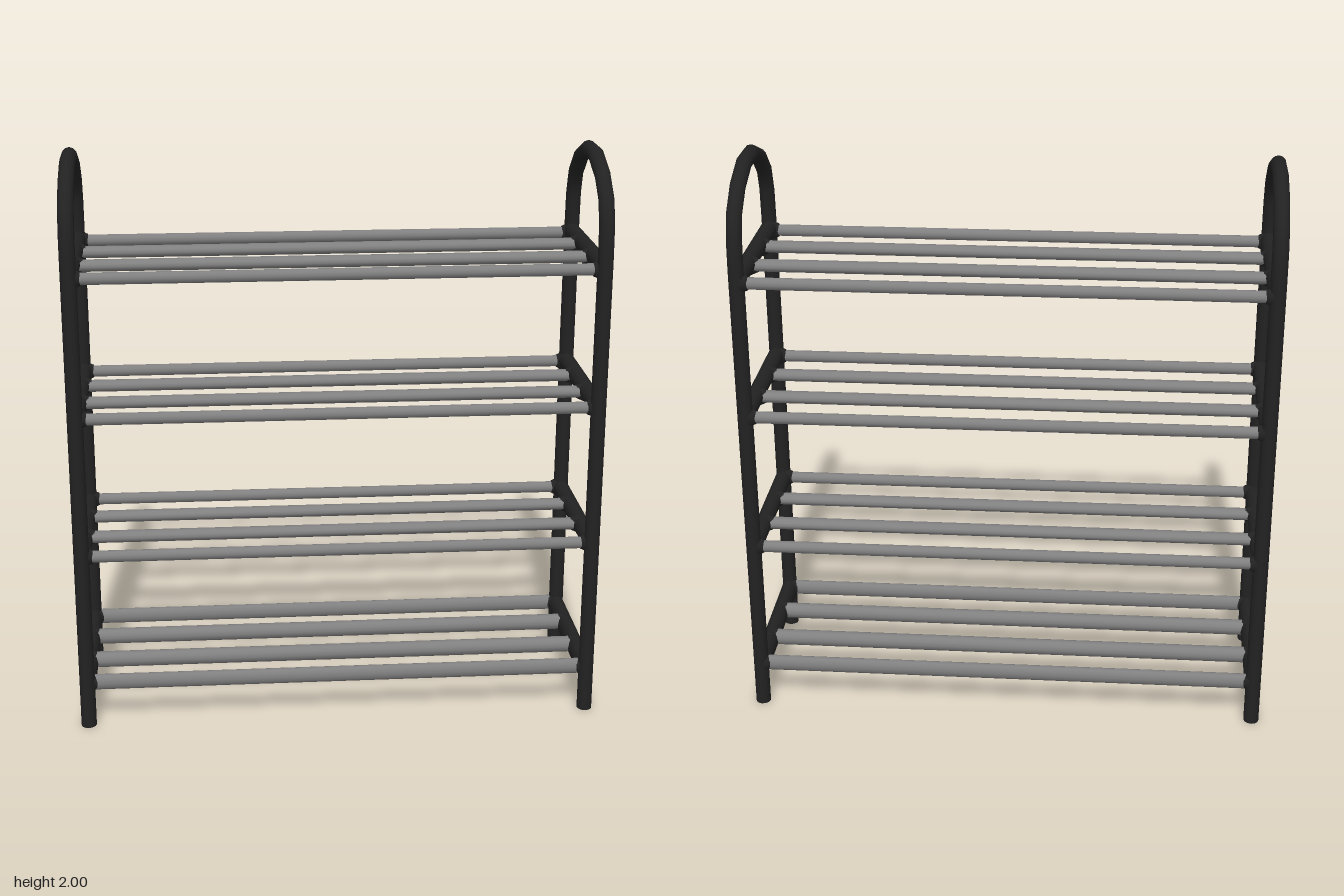
import * as THREE from 'three';

const FRAME_X = 0.891, LEG_Z = 0.284, SIDES = 12;

// Tube swept along a polyline in the yz plane, with mitred corners and closed ends
function mitredTube(path, rx, r) {
  const pos = [], index = [], n = path.length;
  path.forEach(([z, y], i) => {
    const a = path[Math.max(i - 1, 0)], b = path[Math.min(i + 1, n - 1)];
    const d1 = new THREE.Vector2(z - a[0], y - a[1]).normalize();
    const d2 = new THREE.Vector2(b[0] - z, b[1] - y).normalize();
    const t = d1.clone().add(d2).normalize();
    const k = r / Math.max(t.dot(i ? d1 : d2), 0.5);
    for (let j = 0; j < SIDES; j++) {
      const q = (j / SIDES) * Math.PI * 2;
      const s = Math.sin(q) * k;
      pos.push(Math.cos(q) * rx, y - t.x * s, z + t.y * s);
    }
  });
  for (let i = 0; i < n - 1; i++) {
    for (let j = 0; j < SIDES; j++) {
      const a = i * SIDES + j, b = i * SIDES + (j + 1) % SIDES;
      index.push(a, b, a + SIDES, b, b + SIDES, a + SIDES);
    }
  }
  const g = new THREE.BufferGeometry();
  g.setAttribute('position', new THREE.Float32BufferAttribute(pos, 3));
  g.setIndex(index);
  g.computeVertexNormals();
  return g;
}

export function createModel() {
  const model = new THREE.Group();
  model.name = 'shelfRack';
  const black = new THREE.MeshStandardMaterial({ color: 0x222222, side: THREE.DoubleSide });
  black.name = 'blackFrame';
  const grey = new THREE.MeshStandardMaterial({ color: 0x808080 });
  grey.name = 'greyMetal';

  const add = (parent, name, geometry, material, x, y, z) => {
    const mesh = new THREE.Mesh(geometry, material);
    mesh.name = name;
    mesh.position.set(x, y, z);
    parent.add(mesh);
    return mesh;
  };

  // Hoop: two legs joined by a faceted arch
  const half = [[LEG_Z, 0], [LEG_Z, 1.67], [0.279, 1.775], [0.252, 1.857], [0.175, 1.927], [0.06, 1.973]];
  const path = [...half, ...half.slice().reverse().map(([z, y]) => [-z, y])];
  const hoopGeo = mitredTube(path, 0.027, 0.028);
  const footGeo = new THREE.CircleGeometry(0.027, SIDES).rotateX(Math.PI / 2);

  // Tiers: centre height, crossbar half height, rod height and rod half height
  const tiers = [
    { y: 0.155, bar: 0.04, rodY: 0.161, rod: 0.029 },
    { y: 0.64, bar: 0.03, rodY: 0.64, rod: 0.021 },
    { y: 1.145, bar: 0.03, rodY: 1.14, rod: 0.021 },
    { y: 1.635, bar: 0.03, rodY: 1.627, rod: 0.021 },
  ];
  // Rods: depth position and half width
  const rods = [[-0.282, 0.02], [-0.103, 0.027], [0.092, 0.027], [0.272, 0.02]];

  const barGeo = new THREE.CylinderGeometry(1, 1, LEG_Z * 2, SIDES).rotateX(Math.PI / 2);
  const rodGeo = new THREE.CylinderGeometry(1, 1, 1.74, SIDES).rotateZ(Math.PI / 2);
  const socketGeo = new THREE.CylinderGeometry(0.024, 0.036, 0.026, SIDES).rotateZ(Math.PI / 2);

  for (const side of [-1, 1]) {
    const frame = new THREE.Group();
    frame.name = side > 0 ? 'leftFrame' : 'rightFrame';
    model.add(frame);
    add(frame, 'hoop', hoopGeo, black, side * FRAME_X, 0, 0);
    for (const z of [-LEG_Z, LEG_Z]) add(frame, 'foot', footGeo, black, side * FRAME_X, 0, z);
    for (const t of tiers) {
      add(frame, 'crossbar', barGeo, black, side * 0.889, t.y, 0).scale.set(0.029, t.bar, 1);
      // Tapered sockets that hold the rod ends
      for (const [z] of rods) {
        const socket = add(frame, 'rodSocket', socketGeo, black, side * 0.866, t.rodY, z);
        socket.rotation.y = side > 0 ? 0 : Math.PI;
        socket.scale.z = 0.8;
      }
    }
  }

  // Four shelves of four rods
  tiers.forEach((t, i) => {
    const shelf = new THREE.Group();
    shelf.name = 'shelf' + (i + 1);
    model.add(shelf);
    for (const [z, w] of rods) add(shelf, 'rod', rodGeo, grey, 0, t.rodY, z).scale.set(1, t.rod, w);
  });
  return model;
}
